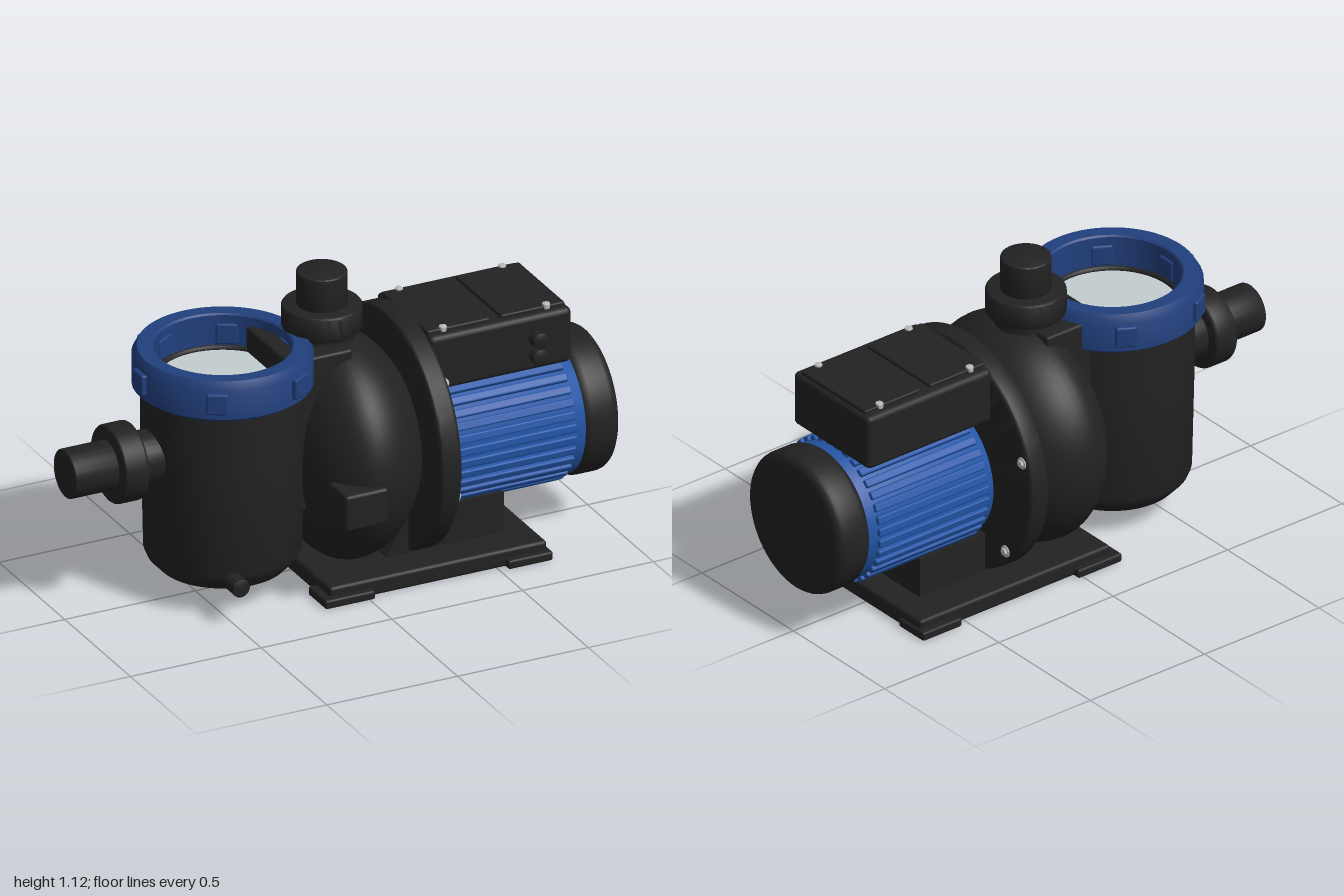
import * as THREE from 'three';
import { toCreasedNormals } from 'three/addons/utils/BufferGeometryUtils.js';
import { RoundedBoxGeometry } from 'three/addons/geometries/RoundedBoxGeometry.js';

const material = (name, color) => {
  const m = new THREE.MeshStandardMaterial({ color });
  m.name = name;
  return m;
};

export function createModel() {
  const model = new THREE.Group();
  model.name = 'poolPump';
  const black = material('blackPlastic', 0x222222);
  const motorBlue = material('motorBlue', 0x2355a6);
  const ringBlue = material('ringBlue', 0x213f7d);
  const glass = material('paleLid', 0xc3cdd0);
  const steel = material('boltSteel', 0xb4babc);

  const add = (name, geometry, mat, x = 0, y = 0, z = 0, parent = model) => {
    const mesh = new THREE.Mesh(geometry, mat);
    mesh.name = name;
    mesh.position.set(x, y, z);
    parent.add(mesh);
    return mesh;
  };
  const box = (name, mat, [x0, x1], [y0, y1], [z0, z1], r = 0.012, parent = model) =>
    add(name, new RoundedBoxGeometry(x1 - x0, y1 - y0, z1 - z0, 2, r), mat,
      (x0 + x1) / 2, (y0 + y1) / 2, (z0 + z1) / 2, parent);
  // Turned profile around the y axis, given as [radius, height] pairs
  const lathe = (points, segments = 64) => toCreasedNormals(
    new THREE.LatheGeometry(points.map(([r, h]) => new THREE.Vector2(r, h)), segments), 0.6);
  // Solid disc profile with rounded rims
  const disc = (r, h0, h1, b = 0.012) => {
    const pts = [[0, h0]];
    for (let i = 0; i <= 4; i++) {
      const a = (i / 4) * Math.PI / 2;
      pts.push([r - b + b * Math.sin(a), h0 + b - b * Math.cos(a)]);
    }
    for (let i = 0; i <= 4; i++) {
      const a = (i / 4) * Math.PI / 2;
      pts.push([r - b + b * Math.cos(a), h1 - b + b * Math.sin(a)]);
    }
    return [...pts, [0, h1]];
  };
  const alongX = (name, points, mat, y, segments) => {
    const mesh = add(name, lathe(points, segments), mat, 0, y, 0);
    mesh.rotation.z = -Math.PI / 2;
    return mesh;
  };
  const alongZ = (name, points, mat, x, y, segments = 24) => {
    const mesh = add(name, lathe(points, segments), mat, x, y, 0);
    mesh.rotation.x = Math.PI / 2;
    return mesh;
  };

  // Base plate with four corner tabs
  box('basePlate', black, [-0.14, 0.69], [0, 0.065], [-0.31, 0.31]);
  for (const s of [-1, 1]) {
    for (const [x0, x1] of [[-0.17, 0.02], [0.53, 0.7]]) {
      const z = [s * 0.2, s * 0.337].sort((a, b) => a - b);
      box('baseTab', black, [x0, x1], [0, 0.033], z, 0.008);
    }
  }

  // Motor support with a sloping front edge
  const side = new THREE.Shape([[0.14, 0.05], [0.59, 0.05], [0.59, 0.215], [0.23, 0.215], [0.14, 0.07]]
    .map(([x, y]) => new THREE.Vector2(x, y)));
  add('motorSupport', new THREE.ExtrudeGeometry(side, { depth: 0.36, bevelEnabled: false }), black, 0, 0, -0.18);

  // Bulging pump housing, fuller towards the flange
  const bulge = [];
  for (let i = 0; i <= 32; i++) {
    const a = -Math.PI / 2 + (i / 32) * Math.PI;
    bulge.push([Math.max(0, 0.415 * Math.cos(a)), 0.02 + (a < 0 ? 0.213 : 0.28) * Math.sin(a)]);
  }
  alongX('pumpHousing', bulge.filter(([, h]) => h < 0.27), black, 0.46, 80);
  box('housingPad', black, [-0.143, 0.022], [0.33, 0.465], [0.3, 0.437]);
  alongX('flange', disc(0.435, 0.225, 0.305, 0.015), black, 0.466, 96);

  // Flange bolts with washers
  for (const [z, y] of [[0.293, 0.74], [0.383, 0.35], [-0.383, 0.585], [-0.293, 0.195]]) {
    alongX('boltWasher', disc(0.022, 0.3, 0.309, 0.002), steel, y, 20).position.z = z;
    alongX('boltHead', disc(0.014, 0.3, 0.318, 0.002), steel, y, 6).position.z = z;
  }

  // Outlet pipe and union nut
  add('outletNeck', lathe(disc(0.11, 0.76, 0.92)), black, -0.017);
  add('outletNut', lathe(disc(0.14, 0.897, 0.992)), black, -0.017);
  add('outletPipe', lathe(disc(0.088, 0.95, 1.115, 0.006)), black, -0.017);

  // Strainer pot, inlet and drain plug
  const potX = -0.396;
  add('strainerPot', lathe([[0, 0.09], [0.2, 0.09], [0.225, 0.095], [0.262, 0.135], [0.272, 0.16],
    [0.282, 0.6], [0.282, 0.765], [0, 0.765]]), black, potX);
  box('potBridge', black, [-0.225, 0.02], [0.3, 0.875], [-0.165, 0.165], 0.01);
  alongX('inletNeck', disc(0.094, -0.76, -0.64), black, 0.552);
  alongX('inletNut', disc(0.14, -0.835, -0.742), black, 0.552);
  alongX('inletPipe', disc(0.088, -1, -0.8, 0.006), black, 0.552);
  alongZ('drainPlug', disc(0.033, 0.15, 0.323, 0.005), black, -0.485, 0.143);

  // Lid ring with six grip lugs and a pale lid
  add('lidRing', lathe([[0.24, 0.768], [0.3, 0.768], [0.312, 0.778], [0.312, 0.885], [0.294, 0.915],
    [0.244, 0.915], [0.238, 0.909], [0.238, 0.768]]), ringBlue, potX);
  for (let i = 0; i < 6; i++) {
    const turn = new THREE.Group();
    turn.name = 'lidLug';
    turn.position.x = potX;
    turn.rotation.y = Math.PI / 6 + i * Math.PI / 3;
    model.add(turn);
    box('lug', ringBlue, [-0.038, 0.038], [0.8, 0.878], [0.23, 0.328], 0.008, turn);
  }
  const seal = add('lidSeal', new THREE.TorusGeometry(0.238, 0.012, 8, 64), black, potX, 0.785);
  seal.rotation.x = Math.PI / 2;
  add('lidWindow', new THREE.CylinderGeometry(0.235, 0.235, 0.03, 64), glass, potX, 0.768);

  // Finned motor and rear fan cover
  const motorY = 0.42;
  alongX('motorCollar', disc(0.22, 0.28, 0.34), black, motorY);
  alongX('motorBody', disc(0.25, 0.322, 0.87, 0.004), motorBlue, motorY);
  const fins = new THREE.Group();
  fins.name = 'motorFins';
  fins.position.y = motorY;
  model.add(fins);
  for (let i = 0; i < 36; i++) {
    const turn = new THREE.Group();
    turn.name = 'finTurn';
    turn.rotation.x = ((i + 0.5) / 36) * Math.PI * 2;
    fins.add(turn);
    box('fin', motorBlue, [0.35, 0.83], [0.235, 0.265], [-0.015, 0.015], 0.006, turn);
  }
  alongX('fanCover', disc(0.26, 0.858, 1, 0.035), black, motorY);

  // Terminal box with two lid panels, screws and cable glands
  box('terminalBox', black, [0.295, 0.838], [0.668, 0.874], [-0.21, 0.208], 0.02);
  for (const [x0, x1] of [[0.3, 0.54], [0.582, 0.825]]) {
    box('terminalLid', black, [x0, x1], [0.86, 0.886], [-0.175, 0.175], 0.006);
  }
  for (const x of [0.362, 0.757]) {
    for (const z of [-0.167, 0.167]) {
      add('lidScrew', lathe(disc(0.014, 0.87, 0.893, 0.003), 16), steel, x, 0, z);
    }
  }
  for (const y of [0.79, 0.728]) alongZ('cableGland', disc(0.029, 0.19, 0.245, 0.004), black, 0.7, y);

  return model;
}
